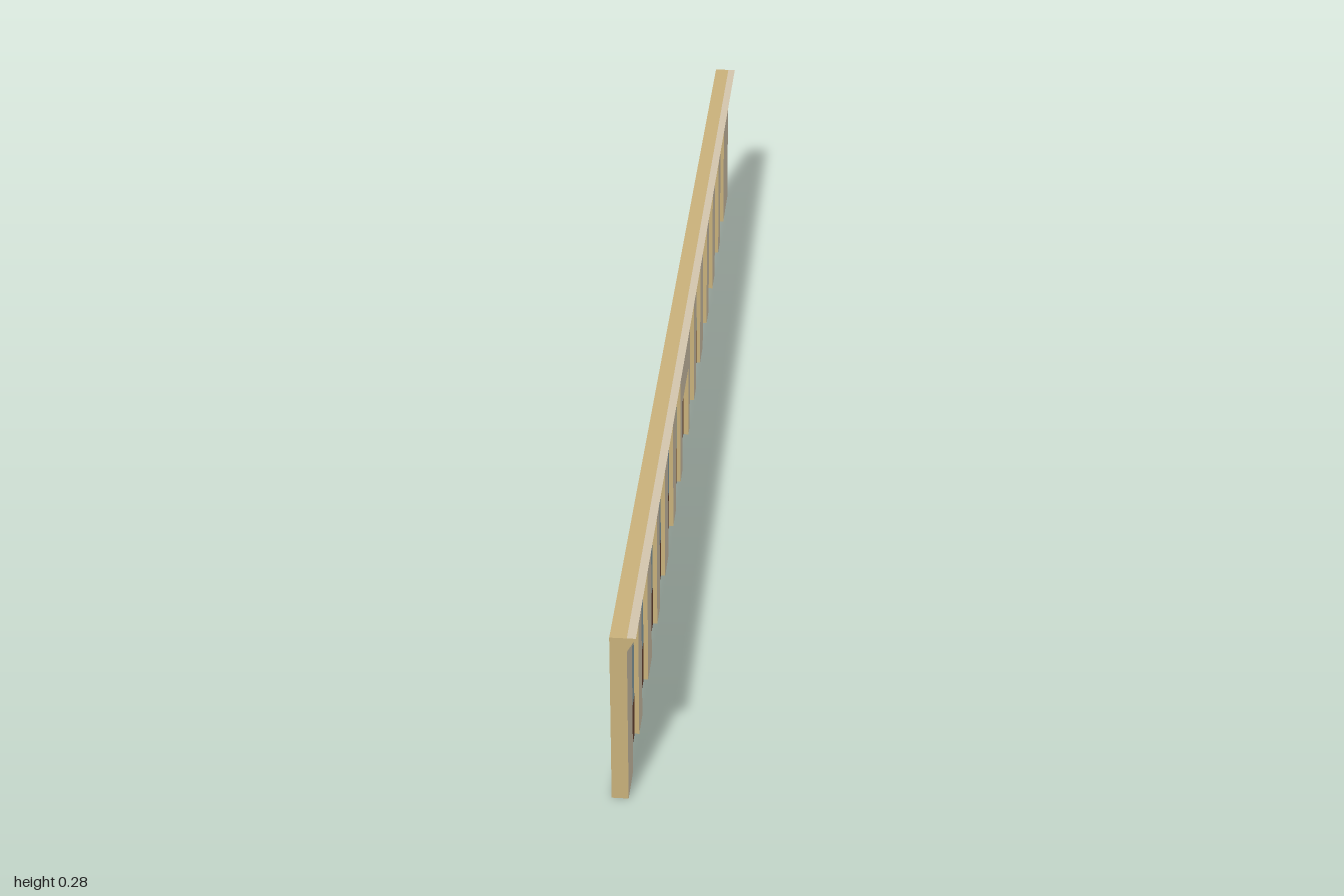
import * as THREE from 'three';

const material = (name, color) => {
  const m = new THREE.MeshStandardMaterial({ color });
  m.name = name;
  return m;
};

export function createModel() {
  const tan = material('tan stone', 0xc8b07a);
  const cream = material('cream plaster', 0xd2c4ac);
  const glass = material('blue grey glass', 0x8ca3a9);
  const brown = material('brown wood', 0x6b4636);

  const group = new THREE.Group();
  group.name = 'arcadeWall';
  const add = (name, geometry, mat) => {
    const mesh = new THREE.Mesh(geometry, mat);
    mesh.name = name;
    group.add(mesh);
    return mesh;
  };

  const H = 0.285, BACK = -0.019, FRONT = 0.006;
  const R = 0.046, SPRING = 0.199, PANEL = 0.07;
  const DOOR = { z: 0.021, half: 0.061, top: 0.136 };
  const windows = [0.889, 0.749, 0.597, 0.458, 0.308, 0.166,
    -0.115, -0.254, -0.407, -0.549, -0.701, -0.84];

  // Profiles are drawn with u = -z, then turned so their depth runs along +x
  const extrudeX = (shape, x0, x1) =>
    new THREE.ExtrudeGeometry(shape, { depth: x1 - x0, bevelEnabled: false, curveSegments: 14 })
      .rotateY(Math.PI / 2).translate(x0, 0, 0);

  // Wall outline, notched by the arched bays and the door
  const wall = new THREE.Shape();
  wall.moveTo(-1, 0);
  const bays = [...windows, DOOR.z].sort((a, b) => b - a);
  for (const z of bays) {
    const u = -z;
    if (z === DOOR.z) {
      wall.lineTo(u - DOOR.half, 0);
      wall.lineTo(u - DOOR.half, DOOR.top);
      wall.lineTo(u + DOOR.half, DOOR.top);
      wall.lineTo(u + DOOR.half, 0);
    } else {
      wall.lineTo(u - R, 0);
      wall.lineTo(u - R, SPRING);
      wall.absarc(u, SPRING, R, Math.PI, 0, true);
      wall.lineTo(u + R, 0);
    }
  }
  wall.lineTo(1, 0);
  wall.lineTo(1, H);
  wall.lineTo(-1, H);
  wall.closePath();

  // Tan back and edges, cream front face
  const wallGeometry = extrudeX(wall, BACK, FRONT);
  const [caps, sides] = wallGeometry.groups.map((g) => ({ ...g }));
  wallGeometry.clearGroups();
  wallGeometry.addGroup(0, caps.count / 2, 0);
  wallGeometry.addGroup(caps.count / 2, caps.count / 2, 1);
  wallGeometry.addGroup(sides.start, sides.count, 0);
  add('wall', wallGeometry, [tan, cream]);

  // Cornice: a wedge along the top of the front, with a cream underside
  const wedge = new THREE.Shape([
    new THREE.Vector2(FRONT, 0.262),
    new THREE.Vector2(0.019, H),
    new THREE.Vector2(FRONT, H),
  ]);
  const cornice = new THREE.ExtrudeGeometry(wedge, { depth: 2, bevelEnabled: false }).translate(0, 0, -1);
  cornice.clearGroups();
  cornice.addGroup(0, 12, 0);
  cornice.addGroup(12, 6, 1);
  cornice.addGroup(18, 6, 0);
  add('cornice', cornice, [tan, cream]);

  // Arched panes over wooden panels, set back from both faces
  const paneBack = -0.013, paneFront = -0.001;
  windows.forEach((z, i) => {
    const pane = new THREE.Shape();
    pane.moveTo(-z - R, PANEL);
    pane.lineTo(-z + R, PANEL);
    pane.lineTo(-z + R, SPRING);
    pane.absarc(-z, SPRING, R, 0, Math.PI, false);
    pane.closePath();
    add(`windowPane${i + 1}`, extrudeX(pane, paneBack, paneFront), glass);

    const panel = new THREE.BoxGeometry(paneFront - paneBack, PANEL, 2 * R);
    add(`windowPanel${i + 1}`, panel, brown)
      .position.set((paneBack + paneFront) / 2, PANEL / 2, z);
  });

  // Door, recessed at the front and flush at the back
  const doorFront = -0.003;
  add('door', new THREE.BoxGeometry(doorFront - BACK, DOOR.top, 2 * DOOR.half), brown)
    .position.set((doorFront + BACK) / 2, DOOR.top / 2, DOOR.z);

  return group;
}
